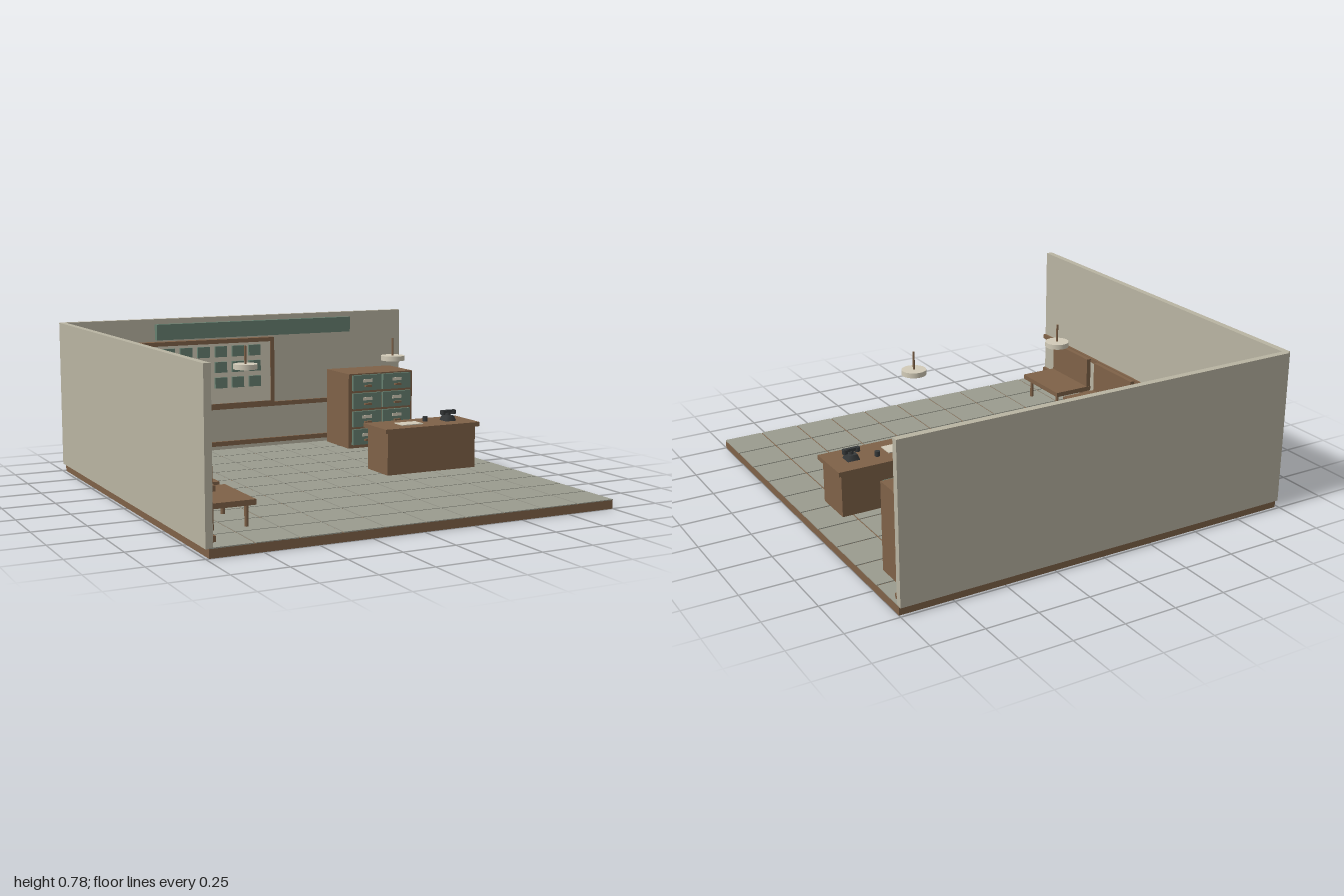
import * as THREE from 'three';

const mat = (color, side = THREE.FrontSide) => new THREE.MeshStandardMaterial({ color, side });
const wood = mat(0x7f6248), plaster = mat(0xb9b4a2), stone = mat(0x9b9c8f);
const green = mat(0x678070), cream = mat(0xd2cbb8), iron = mat(0x36393a);

// Box given by its minimum and maximum corners
function box(parent, name, m, [x0, y0, z0], [x1, y1, z1]) {
  const mesh = new THREE.Mesh(new THREE.BoxGeometry(x1 - x0, y1 - y0, z1 - z0), m);
  mesh.position.set((x0 + x1) / 2, (y0 + y1) / 2, (z0 + z1) / 2);
  mesh.name = name;
  parent.add(mesh);
  return mesh;
}

// Upright cylinder standing on y0
function rod(parent, name, m, x, y0, z, h, rBottom, rTop = rBottom, sides = 12) {
  const mesh = new THREE.Mesh(new THREE.CylinderGeometry(rTop, rBottom, h, sides), m);
  mesh.position.set(x, y0 + h / 2, z);
  mesh.name = name;
  parent.add(mesh);
  return mesh;
}

function group(parent, name) {
  const g = new THREE.Group();
  g.name = name;
  parent.add(g);
  return g;
}

const FLOOR = 0.044;

function buildRoom(root) {
  const room = group(root, 'room');
  box(room, 'floorSlab', wood, [-0.985, 0, -0.985], [1, 0.04, 1]);
  // Square tiles with narrow joints showing the slab
  const tiles = group(room, 'floorTiles');
  const pitch = 0.1985, gap = 0.004;
  for (let i = 0; i < 10; i++) {
    for (let j = 0; j < 10; j++) {
      const x = -0.985 + i * pitch, z = -0.985 + j * pitch;
      box(tiles, 'tile', stone,
        [x + (i ? gap : 0), 0.039, z + (j ? gap : 0)],
        [x + pitch - (i < 9 ? gap : 0), FLOOR, z + pitch - (j < 9 ? gap : 0)]);
    }
  }
  box(room, 'backWall', plaster, [-0.985, 0.04, -1], [1, 0.775, -0.968]);
  box(room, 'leftWall', plaster, [-1, 0.04, -0.985], [-0.968, 0.775, 1]);
  // Skirting and chair rails on both walls
  for (const [name, y0, y1] of [['skirtingRail', 0.065, 0.09], ['chairRail', 0.268, 0.292]]) {
    box(room, name, wood, [-0.968, y0, -0.969], [1, y1, -0.955]);
    box(room, name, wood, [-0.969, y0, -0.968], [-0.955, y1, 1]);
  }
}

function buildBoard(root) {
  const board = group(root, 'wallBoard');
  const L = -0.725, R = 0.185, B = 0.283, T = 0.655, w = 0.022;
  box(board, 'boardBacking', cream, [L + w, B + w, -0.968], [R - w, T - w, -0.93]);
  box(board, 'frameTop', wood, [L, T - w, -0.968], [R, T, -0.924]);
  box(board, 'frameBottom', wood, [L, B, -0.968], [R, B + w, -0.924]);
  box(board, 'frameSide', wood, [L, B + w, -0.968], [L + w, T - w, -0.924]);
  box(board, 'frameSide', wood, [R - w, B + w, -0.968], [R, T - w, -0.924]);
  for (let c = 0; c < 8; c++) {
    for (let r = 0; r < 3; r++) {
      const x = -0.63 + c * 0.0993, y = 0.59 - r * 0.085;
      box(board, 'card', green, [x - 0.034, y - 0.029, -0.931], [x + 0.034, y + 0.029, -0.915]);
    }
  }
  box(root, 'signBoard', green, [-0.49, 0.665, -0.968], [0.66, 0.748, -0.935]);
}

function buildCabinet(root) {
  const cabinet = group(root, 'filingCabinet');
  box(cabinet, 'cabinetBody', wood, [0.52, FLOOR, -0.945], [0.92, 0.457, -0.68]);
  for (const x of [0.627, 0.813]) {
    for (let r = 0; r < 4; r++) {
      const y = 0.407 - r * 0.1;
      box(cabinet, 'drawerFront', green, [x - 0.087, y - 0.043, -0.682], [x + 0.087, y + 0.043, -0.662]);
      box(cabinet, 'drawerLabel', cream, [x - 0.029, y + 0.003, -0.664], [x + 0.029, y + 0.02, -0.659]);
      box(cabinet, 'drawerPull', wood, [x - 0.02, y - 0.022, -0.664], [x + 0.02, y - 0.012, -0.645]);
    }
  }
}

function buildDesk(root) {
  const desk = group(root, 'desk');
  box(desk, 'deskBody', wood, [0.345, FLOOR, -0.135], [0.855, 0.256, 0.068]);
  box(desk, 'deskTop', wood, [0.327, 0.256, -0.155], [0.875, 0.278, 0.08]);
  box(desk, 'paper', cream, [0.46, 0.277, -0.07], [0.582, 0.282, 0.012]);
  rod(desk, 'inkwell', iron, 0.64, 0.278, -0.068, 0.024, 0.013);
  // Telephone: tapered base, cradle and handset
  const phone = group(desk, 'telephone');
  phone.position.set(0.758, 0.278, -0.038);
  const base = rod(phone, 'phoneBase', iron, 0, 0, 0, 0.026, 0.044, 0.032, 4);
  base.geometry.rotateY(Math.PI / 4);
  rod(phone, 'cradle', iron, 0, 0.024, 0, 0.018, 0.012);
  box(phone, 'handsetGrip', iron, [-0.04, 0.04, -0.009], [0.04, 0.054, 0.009]);
  for (const s of [-1, 1]) rod(phone, 'handsetEnd', iron, s * 0.031, 0.032, 0, 0.02, 0.014);
}

function buildChair(root, z) {
  const chair = group(root, 'chair');
  chair.position.z = z;
  box(chair, 'seat', wood, [-0.898, 0.142, -0.17], [-0.68, 0.166, 0.17]);
  box(chair, 'backrest', wood, [-0.898, 0.16, -0.167], [-0.874, 0.322, 0.167]);
  for (const x of [-0.865, -0.708])
    for (const s of [-1, 1]) rod(chair, 'leg', wood, x, FLOOR, s * 0.129, 0.1, 0.009);
}

function buildToolRack(root) {
  const rack = group(root, 'toolRack');
  box(rack, 'rackBar', wood, [-0.917, 0.355, -0.88], [-0.884, 0.376, -0.425]);
  for (const z of [-0.77, -0.63, -0.49]) {
    const spade = group(rack, 'spade');
    rod(spade, 'shaft', wood, -0.873, 0.11, z, 0.308, 0.007);
    // Blade with slanted shoulders
    const s = new THREE.Shape();
    [[-0.026, 0.05], [0.026, 0.05], [0.028, 0.115], [0.018, 0.128], [-0.018, 0.128], [-0.028, 0.115]]
      .forEach(([u, v], i) => (i ? s.lineTo(u, v) : s.moveTo(u, v)));
    const blade = new THREE.Mesh(
      new THREE.ExtrudeGeometry(s, { depth: 0.016, bevelEnabled: false }), iron);
    blade.rotation.y = Math.PI / 2;
    blade.position.set(-0.881, 0, z);
    blade.name = 'blade';
    spade.add(blade);
  }
}

function buildLamp(root, x) {
  const lamp = group(root, 'pendantLamp');
  rod(lamp, 'lampShade', cream, x, 0.612, 0.008, 0.024, 0.058, 0.058, 24);
  rod(lamp, 'lampStem', wood, x, 0.634, 0.008, 0.088, 0.005);
}

export function createModel() {
  const root = new THREE.Group();
  root.name = 'officeRoom';
  buildRoom(root);
  buildBoard(root);
  buildCabinet(root);
  buildDesk(root);
  for (const z of [0.203, 0.603]) buildChair(root, z);
  buildToolRack(root);
  for (const x of [-0.393, 0.402]) buildLamp(root, x);
  return root;
}
